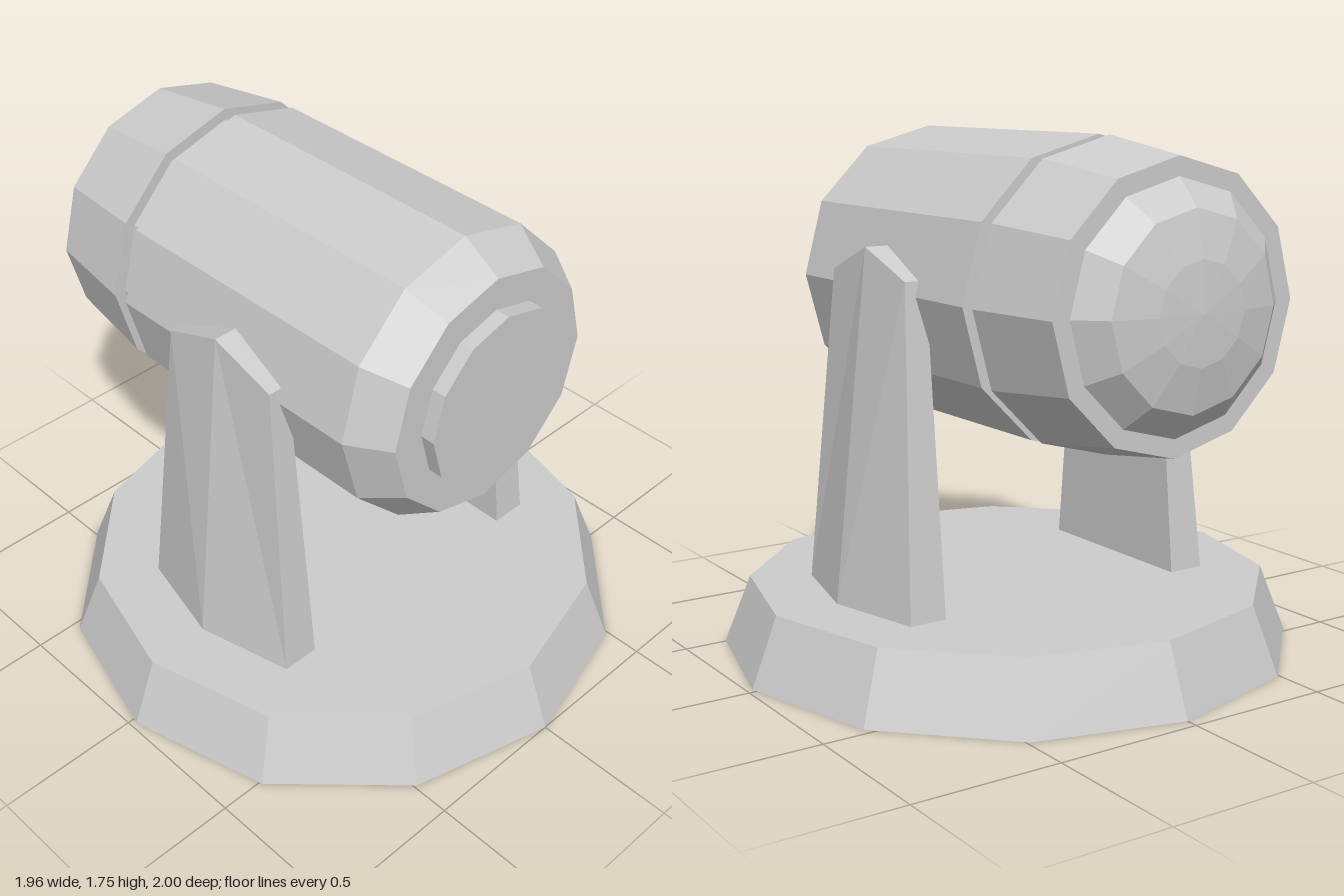
import * as THREE from 'three';

const SIDES = 12;
const MID_Z = 0.02; // centre of the base and the supports
const BASE_H = 0.23;

const makeMaterial = (side = THREE.FrontSide) =>
  new THREE.MeshStandardMaterial({ color: 0xcccccc, flatShading: true, side });

// Support outlines as [x, y, z], counter-clockwise seen from above
const FOOT = [
  [0.46, BASE_H, 0.335], [0.59, BASE_H, 0.335], [0.67, BASE_H, 0],
  [0.59, BASE_H, -0.335], [0.46, BASE_H, -0.335], [0.46, BASE_H, 0],
];
const HEAD = [
  [0.46, 1.3, 0.23], [0.535, 1.3, 0.23], [0.545, 1.39, 0],
  [0.535, 1.3, -0.23], [0.46, 1.3, -0.23], [0.46, 1.39, 0],
];

// Hollow tapered support with a pitched top, open at the foot
function supportGeometry(side) {
  const n = FOOT.length;
  const positions = [...FOOT, ...HEAD].flatMap(([x, y, z]) => [x * side, y, z]);
  const index = [];
  const quad = (a, b, c, d) =>
    index.push(...(side > 0 ? [a, b, c, a, c, d] : [a, c, b, a, d, c]));
  for (let i = 0; i < n; i++) {
    const j = (i + 1) % n;
    quad(i, j, n + j, n + i);
  }
  quad(n, n + 1, n + 2, n + 5);
  quad(n + 5, n + 2, n + 3, n + 4);
  const indexed = new THREE.BufferGeometry();
  indexed.setAttribute('position', new THREE.Float32BufferAttribute(positions, 3));
  indexed.setIndex(index);
  const geometry = indexed.toNonIndexed();
  geometry.computeVertexNormals();
  return geometry;
}

// Flat base top with a slot under each support
function deckGeometry(radius) {
  const shape = new THREE.Shape();
  for (let i = 0; i < SIDES; i++) {
    const a = (i / SIDES) * Math.PI * 2;
    const x = Math.cos(a) * radius, y = Math.sin(a) * radius;
    if (i === 0) shape.moveTo(x, y);
    else shape.lineTo(x, y);
  }
  shape.closePath();
  for (const side of [1, -1]) {
    shape.holes.push(new THREE.Path(FOOT.map(([x, , z]) => new THREE.Vector2(x * side, -z))));
  }
  return new THREE.ShapeGeometry(shape).rotateX(-Math.PI / 2);
}

// Faceted part turned around the barrel axis; profile is [radius, z] from back to front
function turned(name, profile) {
  const points = profile.map(([r, z]) => new THREE.Vector2(r, z));
  const mesh = new THREE.Mesh(new THREE.LatheGeometry(points, SIDES), makeMaterial());
  mesh.geometry.rotateX(Math.PI / 2);
  mesh.name = name;
  return mesh;
}

export function createModel() {
  const model = new THREE.Group();
  model.name = 'spotlight';

  // Base: sloped skirt, open underneath, with a slotted deck
  const base = new THREE.Group();
  base.name = 'base';
  base.position.z = MID_Z;
  const skirt = new THREE.Mesh(
    new THREE.CylinderGeometry(0.89, 0.98, BASE_H, SIDES, 1, true),
    makeMaterial(THREE.DoubleSide));
  skirt.name = 'baseSkirt';
  skirt.position.y = BASE_H / 2;
  const deck = new THREE.Mesh(deckGeometry(0.89), makeMaterial(THREE.DoubleSide));
  deck.name = 'baseDeck';
  deck.position.y = BASE_H;
  base.add(skirt, deck);
  model.add(base);

  // Supports on both sides
  for (const [name, side] of [['leftSupport', 1], ['rightSupport', -1]]) {
    const support = new THREE.Mesh(supportGeometry(side), makeMaterial(THREE.DoubleSide));
    support.name = name;
    support.position.z = MID_Z;
    model.add(support);
  }

  // Lamp head: rear dome, tapered rear collar, groove, barrel and front disc
  const head = new THREE.Group();
  head.name = 'lampHead';
  head.position.y = 1.25;
  head.add(
    turned('rearDome', [[0, -1], [0.16, -0.99], [0.305, -0.957], [0.39, -0.875]]),
    turned('rearCollar', [[0.38, -0.875], [0.45, -0.875], [0.5, -0.54], [0.46, -0.54]]),
    turned('groove', [[0.46, -0.54], [0.46, -0.485]]),
    turned('barrel', [[0.46, -0.485], [0.5, -0.485], [0.5, 0.525], [0.415, 0.66], [0.3, 0.66]]),
    turned('frontDisc', [[0.305, 0.66], [0.305, 0.71], [0, 0.71]]),
  );
  model.add(head);

  return model;
}
